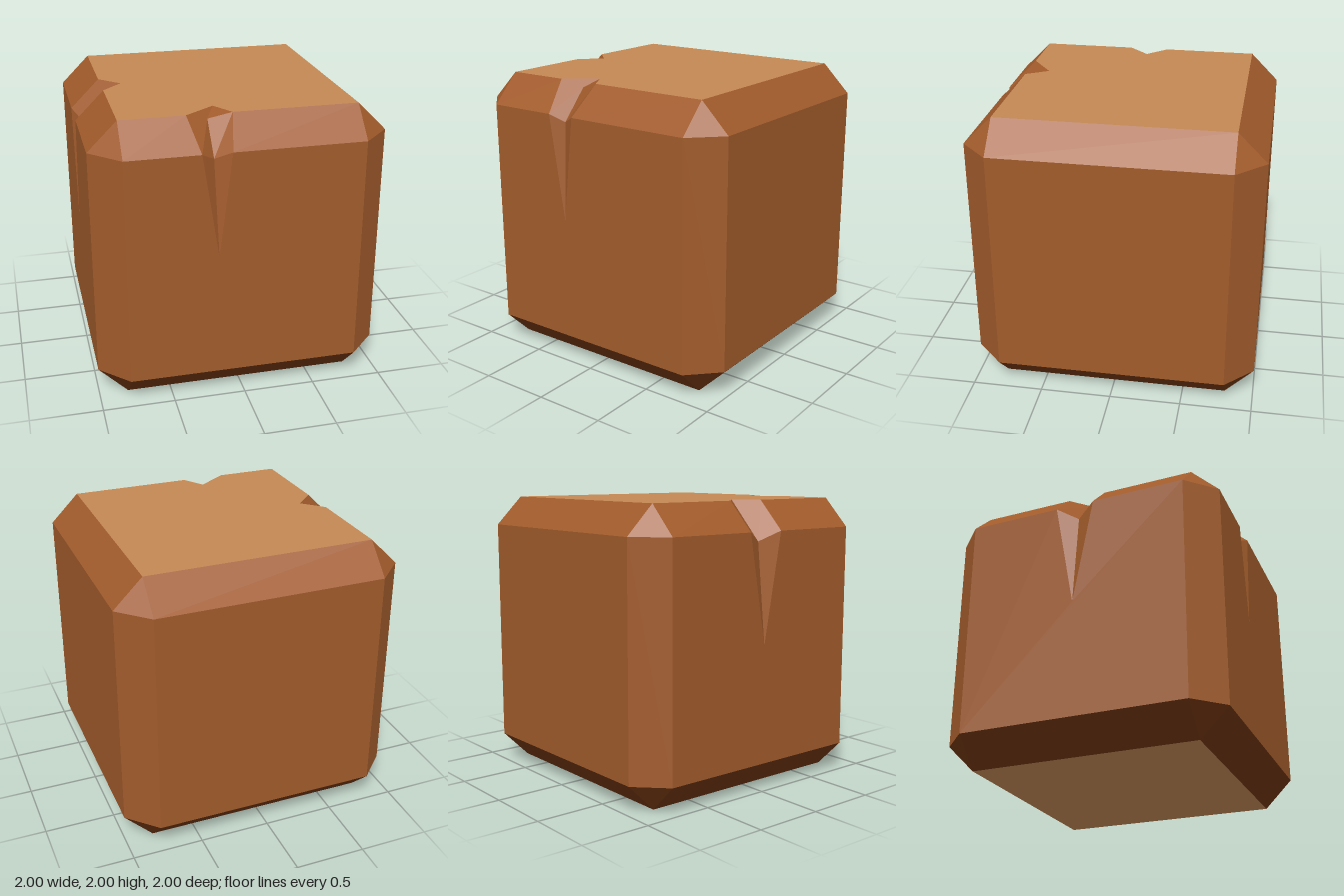
import * as THREE from 'three';

function paint(name, color) {
  const material = new THREE.MeshStandardMaterial({ color });
  material.name = name;
  return material;
}
const body = paint('brown wood', 0xa15b2b);
const ends = paint('pale wood', 0xc48854);
const base = paint('dark wood', 0x6c3310);

const I = 0.8; // inset where the bevels start
const centre = new THREE.Vector3(0, 1, 0);

// Flat polygons, each turned to face away from the block's centre
function polygons(name, material, faces) {
  const out = [];
  for (const face of faces) {
    const pts = face.map((p) => new THREE.Vector3(...p));
    const normal = new THREE.Vector3();
    const mid = new THREE.Vector3();
    pts.forEach((p, i) => {
      normal.add(new THREE.Vector3().crossVectors(p, pts[(i + 1) % pts.length]));
      mid.addScaledVector(p, 1 / pts.length);
    });
    if (normal.dot(mid.sub(centre)) < 0) {
      pts.reverse();
      normal.negate();
    }
    normal.normalize();
    const u = pts[1].clone().sub(pts[0]).normalize();
    const v = new THREE.Vector3().crossVectors(normal, u);
    const flat = pts.map((p) => new THREE.Vector2(p.dot(u), p.dot(v)));
    for (const tri of THREE.ShapeUtils.triangulateShape(flat, [])) {
      for (const k of tri) out.push(...pts[k].toArray());
    }
  }
  const geometry = new THREE.BufferGeometry();
  geometry.setAttribute('position', new THREE.Float32BufferAttribute(out, 3));
  geometry.computeVertexNormals();
  const mesh = new THREE.Mesh(geometry, material);
  mesh.name = name;
  return mesh;
}

export function createModel() {
  const group = new THREE.Group();
  group.name = 'bevelledBlock';

  // Front crack: left rim, right rim and valley, from the top down
  const L = [[-0.36, 2, I], [-0.3, 1.8, 1]];
  const R = [[-0.055, 2, I], [-0.1, 1.8, 1]];
  const V = [[-0.15, 2, 0.645], [-0.21, 1.95, 0.75], [-0.21, 1.745, 0.94], [-0.187, 1.07, 1]];
  // Side crack: rims at z = +-0.14 and a central valley
  const rim = (s) => [[-I, 2, s * 0.14], [-1, 1.8, s * 0.14]];
  const S = [[-0.66, 2, 0], [-0.925, 1.73, 0], [-1, 1.03, 0]];
  const [A, B] = [rim(1), rim(-1)];

  // Top and bottom, the top notched by both cracks
  group.add(polygons('topFace', ends, [
    [[-I, 2, I], L[0], V[0], R[0], [I, 2, I], [I, 2, -I], [-I, 2, -I], B[0], S[0], A[0]],
  ]));
  group.add(polygons('bottomFace', ends, [
    [[-I, 0, I], [I, 0, I], [I, 0, -I], [-I, 0, -I]],
  ]));

  // Four sides, two of them notched
  group.add(polygons('sideFaces', body, [
    [[-I, 1.8, 1], L[1], V[3], R[1], [I, 1.8, 1], [I, 0.2, 1], [-I, 0.2, 1]],
    [[-1, 1.8, -I], B[1], S[2], A[1], [-1, 1.8, I], [-1, 0.2, I], [-1, 0.2, -I]],
    [[1, 1.8, -I], [1, 1.8, I], [1, 0.2, I], [1, 0.2, -I]],
    [[-I, 1.8, -1], [I, 1.8, -1], [I, 0.2, -1], [-I, 0.2, -1]],
  ]));

  // Top bevels: the two cracked ones are split around their notch
  group.add(polygons('topBevels', body, [
    [[-I, 2, I], L[0], L[1], [-I, 1.8, 1]],
    [R[0], [I, 2, I], [I, 1.8, 1], R[1]],
    [[-I, 2, -I], B[0], B[1], [-1, 1.8, -I]],
    [A[0], [-I, 2, I], [-1, 1.8, I], A[1]],
    [[I, 2, -I], [I, 2, I], [1, 1.8, I], [1, 1.8, -I]],
    [[-I, 2, -I], [I, 2, -I], [I, 1.8, -1], [-I, 1.8, -1]],
  ]));

  // Upright bevels
  const uprights = [];
  for (const x of [-1, 1]) for (const z of [-1, 1]) {
    uprights.push([
      [x, 0.2, z * I], [x, 1.8, z * I], [x * I, 1.8, z], [x * I, 0.2, z],
    ]);
  }
  group.add(polygons('uprightBevels', body, uprights));

  // Dark bevels around the base
  const baseBevels = [];
  for (const s of [-1, 1]) {
    baseBevels.push(
      [[s * I, 0, -I], [s * I, 0, I], [s, 0.2, I], [s, 0.2, -I]],
      [[-I, 0, s * I], [I, 0, s * I], [I, 0.2, s], [-I, 0.2, s]],
    );
  }
  group.add(polygons('baseBevels', base, baseBevels));

  // Corner triangles
  const corners = (y) => [[-1, -1], [-1, 1], [1, -1], [1, 1]].map(([x, z]) => [
    [x, 1 + y * I, z * I], [x * I, 1 + y, z * I], [x * I, 1 + y * I, z],
  ]);
  group.add(polygons('topCorners', body, corners(1)));
  group.add(polygons('baseCorners', base, corners(-1)));

  // Crack walls
  const frontWalls = [];
  for (const E of [L, R]) {
    frontWalls.push([V[0], E[0], V[1]], [V[1], E[0], E[1], V[2]], [V[2], E[1], V[3]]);
  }
  group.add(polygons('frontCrack', body, frontWalls));
  const sideWalls = [];
  for (const E of [A, B]) {
    sideWalls.push([S[0], E[0], E[1], S[1]], [S[1], E[1], S[2]]);
  }
  group.add(polygons('sideCrack', body, sideWalls));

  return group;
}
